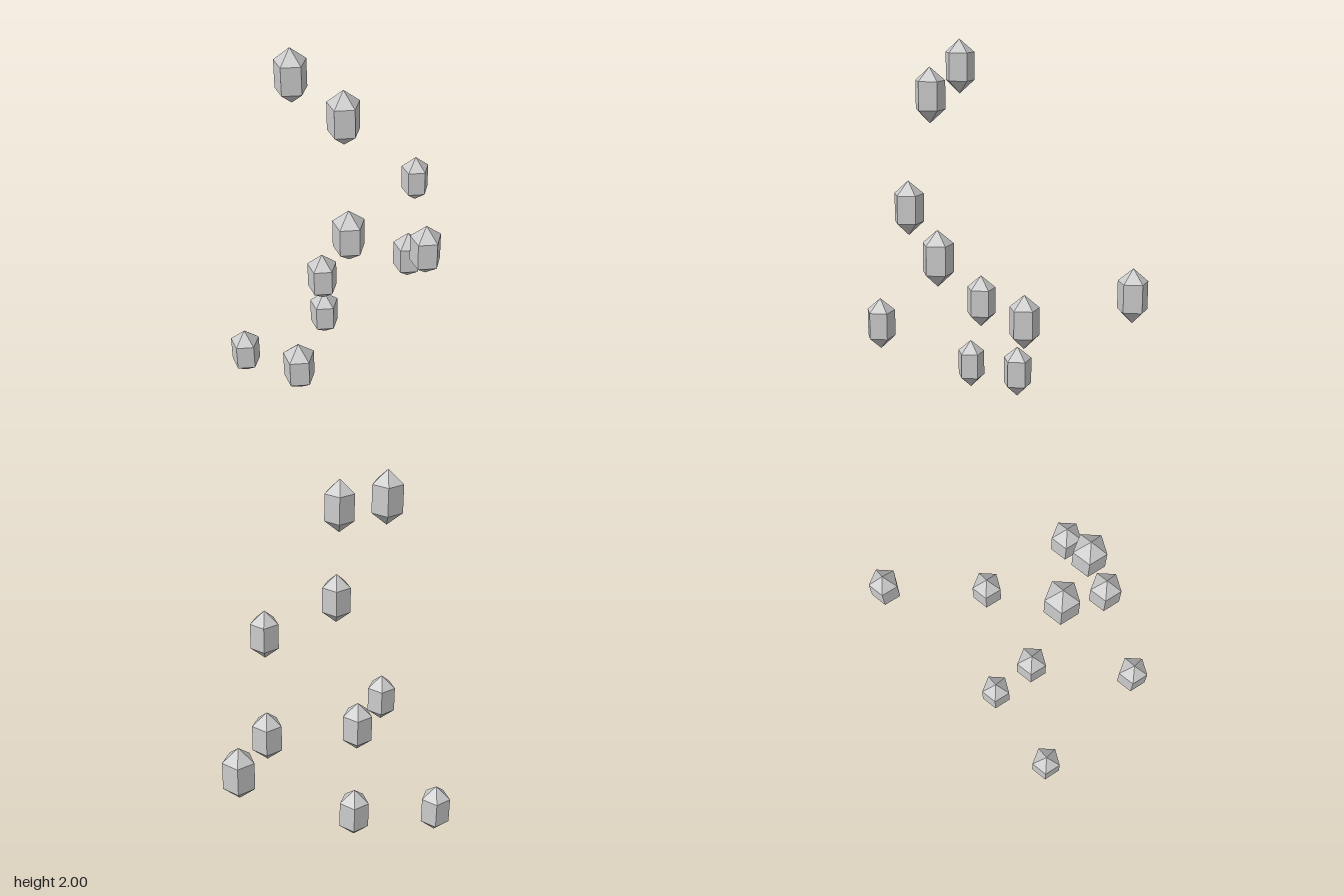
import * as THREE from 'three';

const RADIUS = 0.078;       // five-sided body
const HALF_BODY = 0.071;    // half height of the straight sides
const HALF_HEIGHT = 0.139;  // half height from tip to tip

// Centres of the floating crystals: x, y, z
const CENTRES = [
  [-0.142, 1.861, 0.35],
  [0.143, 1.741, 0.283],
  [0.241, 1.181, 0.345],
  [0.394, 1.009, -0.007],
  [-0.329, 0.788, -0.63],
  [-0.141, 0.64, 0.204],
  [0.03, 0.656, -0.239],
  [0.189, 0.505, 0.628],
  [-0.291, 0.237, 0.078],
  [-0.413, 0.143, 0.532],
];

// Pentagonal prism with a pointed tip at each end, one corner towards +x
function crystalGeometry() {
  const profile = [
    new THREE.Vector2(0, -HALF_HEIGHT),
    new THREE.Vector2(RADIUS, -HALF_BODY),
    new THREE.Vector2(RADIUS, HALF_BODY),
    new THREE.Vector2(0, HALF_HEIGHT),
  ];
  return new THREE.LatheGeometry(profile, 5, Math.PI / 2);
}

export function createModel() {
  const group = new THREE.Group();
  group.name = 'crystalCluster';
  const material = new THREE.MeshStandardMaterial({ color: 0xcccccc, flatShading: true });
  material.name = 'paleGrey';
  const geometry = crystalGeometry();

  CENTRES.forEach((centre, i) => {
    const crystal = new THREE.Mesh(geometry, material);
    crystal.name = `crystal${i + 1}`;
    crystal.position.set(...centre);
    group.add(crystal);
  });
  return group;
}
